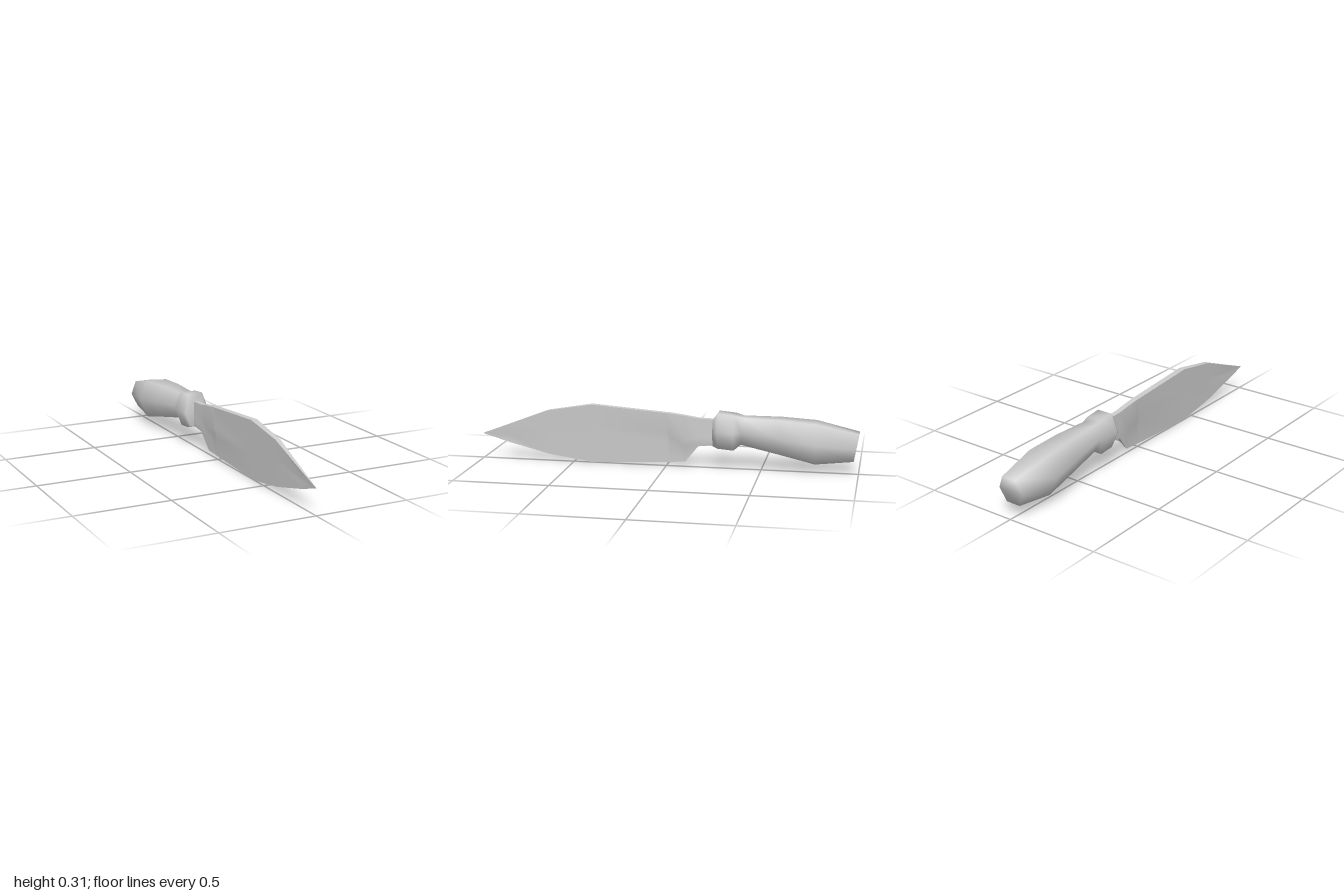
import * as THREE from 'three';
import { toCreasedNormals } from 'three/addons/utils/BufferGeometryUtils.js';

const material = new THREE.MeshStandardMaterial({ color: 0xcccccc });

// Skins a list of equal rings (counter-clockwise seen from +z, ordered from +z to -z) and caps both ends.
function loft(rings) {
  const n = rings[0].length, last = (rings.length - 1) * n, index = [];
  for (let i = 0; i < rings.length - 1; i++) {
    for (let j = 0; j < n; j++) {
      const a = i * n + j, b = i * n + (j + 1) % n;
      index.push(a, a + n, b, b, a + n, b + n);
    }
  }
  for (let j = 1; j < n - 1; j++) {
    index.push(0, j, j + 1, last, last + j + 1, last + j);
  }
  const geometry = new THREE.BufferGeometry();
  geometry.setAttribute('position', new THREE.Float32BufferAttribute(rings.flat(2), 3));
  geometry.setIndex(index);
  geometry.computeVertexNormals();
  return geometry;
}

// Hexagonal handle section; the top and bottom may sit at different z.
function hexRing([zTop, zBottom, top, bottom, w]) {
  const mid = bottom + (top - bottom) * 0.5, zMid = (zTop + zBottom) / 2, s = w * 0.55;
  return [
    [w, mid, zMid], [s, top, zTop], [-s, top, zTop],
    [-w, mid, zMid], [-s, bottom, zBottom], [s, bottom, zBottom],
  ];
}

// Blade section: thick spine, two flank points and a thin cutting edge.
function bladeRing([z, top, bottom, w, y1, w1, y2, w2, edge = 0.0008]) {
  const side = [[edge, bottom], [w2, y2], [w1, y1], [w, top]];
  return [
    ...side.map(([x, y]) => [x, y, z]),
    ...side.reverse().map(([x, y]) => [-x, y, z]),
  ];
}

// Plain wedge-shaped section
function wedge(z, top, bottom, w) {
  const at = (t) => bottom + (top - bottom) * t;
  return [z, top, bottom, w, at(0.6), w * 0.6, at(0.4), w * 0.4];
}

export function createModel() {
  const group = new THREE.Group();

  // Handle with swollen collar and slanted butt: zTop, zBottom, top, bottom, half width
  const handle = new THREE.Mesh(loft([
    [-0.25, -0.25, 0.265, 0.125, 0.065],
    [-0.275, -0.275, 0.3, 0.115, 0.077],
    [-0.36, -0.36, 0.292, 0.108, 0.077],
    [-0.405, -0.395, 0.28, 0.14, 0.066],
    [-0.6, -0.6, 0.278, 0.098, 0.09],
    [-0.78, -0.78, 0.266, 0.058, 0.105],
    [-1, -0.975, 0.218, 0.076, 0.072],
  ].map(hexRing)), material);
  handle.name = 'handle';
  group.add(handle);

  // Blade with leaf-shaped outline, thin heel and thick tang
  const blade = new THREE.Mesh(toCreasedNormals(loft([
    wedge(1, 0.137, 0.134, 0.001),
    wedge(0.86, 0.19, 0.092, 0.006),
    wedge(0.64, 0.275, 0.037, 0.013),
    wedge(0.4, 0.316, 0.002, 0.017),
    wedge(0, 0.286, 0.021, 0.016),
    [-0.02, 0.285, 0.022, 0.016, 0.165, 0.015, 0.14, 0.005],
    [-0.1, 0.275, 0.027, 0.015, 0.15, 0.015, 0.11, 0.005],
    [-0.17, 0.264, 0.115, 0.015, 0.16, 0.015, 0.13, 0.015, 0.012],
    [-0.27, 0.26, 0.127, 0.015, 0.16, 0.015, 0.14, 0.015, 0.012],
  ].map(bladeRing)), 0.7), material);
  blade.name = 'blade';
  blade.position.x = -0.003;
  group.add(blade);

  return group;
}
